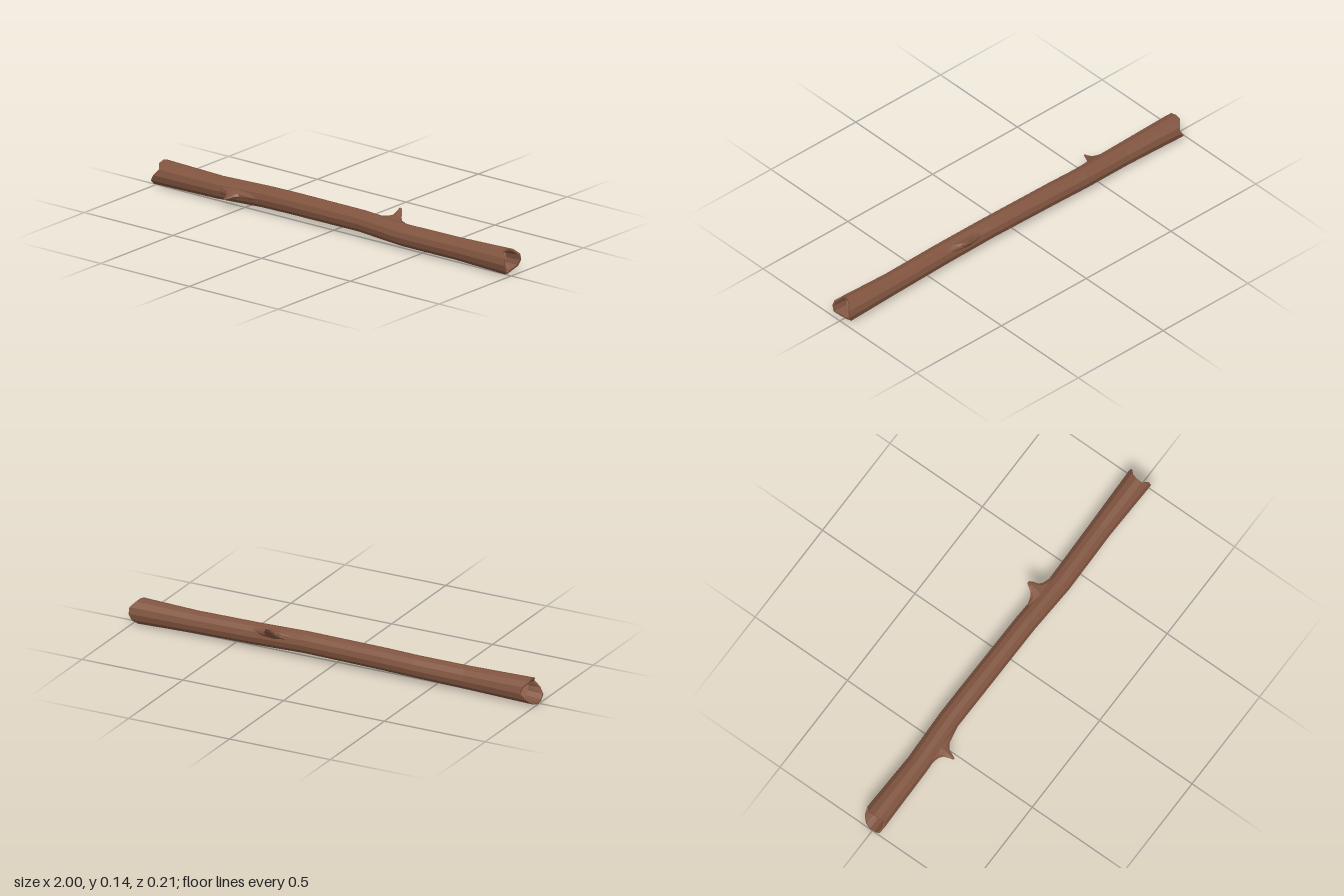
import * as THREE from 'three';

const SIDES = 12;

// Skin a list of rings (each an array of Vector3); optionally close the ends with fans
function loft(rings, startCap = false, endCap = false) {
  const pos = [];
  const tri = (a, b, c) => pos.push(...a.toArray(), ...b.toArray(), ...c.toArray());
  for (let i = 0; i < rings.length - 1; i++) {
    const r = rings[i], s = rings[i + 1], n = r.length;
    for (let k = 0; k < n; k++) {
      const m = (k + 1) % n;
      tri(r[k], r[m], s[m]);
      tri(r[k], s[m], s[k]);
    }
  }
  const fan = (ring, flip) => {
    const c = ring.reduce((t, p) => t.add(p), new THREE.Vector3()).divideScalar(ring.length);
    ring.forEach((p, k) => {
      const q = ring[(k + 1) % ring.length];
      flip ? tri(c, q, p) : tri(c, p, q);
    });
  };
  if (startCap) fan(rings[0], true);
  if (endCap) fan(rings[rings.length - 1], false);
  const g = new THREE.BufferGeometry();
  g.setAttribute('position', new THREE.Float32BufferAttribute(pos, 3));
  g.computeVertexNormals();
  return g;
}

// Ring around the log axis, starting at the top and turning towards the front
function logRing(x, cy, cz, r, offsets) {
  return Array.from({ length: SIDES }, (_, k) => {
    const a = (k / SIDES) * Math.PI * 2;
    return new THREE.Vector3(x + (offsets ? offsets[k] : 0), cy + r * Math.cos(a), cz + r * Math.sin(a));
  });
}

// Broken branch stub: sections are [x, y, z, half length along log, half width]
function stub(sections, dy, dz) {
  const rings = sections.map(([x, y, z, hx, hw]) =>
    Array.from({ length: 8 }, (_, k) => {
      const a = (k / 8) * Math.PI * 2;
      const w = hw * Math.sin(a);
      return new THREE.Vector3(x + hx * Math.cos(a), y + w * dz, z - w * dy);
    }));
  return loft(rings, false, true);
}

export function createModel() {
  const group = new THREE.Group();
  const bark = new THREE.MeshStandardMaterial({ color: 0x80543f });
  bark.name = 'bark';
  const wood = new THREE.MeshStandardMaterial({ color: 0xb87d63 });
  wood.name = 'cutWood';
  const add = (name, geometry, material) => {
    const mesh = new THREE.Mesh(geometry, material);
    mesh.name = name;
    group.add(mesh);
  };

  // Ragged rims: how far each side point falls short of, or reaches, the end
  const rimLeft = [0.03, 0.03, 0.045, 0.02, 0, 0, 0, 0.01, 0.03, 0.06, 0.05, 0.03];
  const rimRight = [-0.03, -0.03, -0.005, 0, 0, -0.02, -0.03, -0.03, -0.01, 0, 0, -0.02];

  // Gently bent trunk: x, centre y, centre z, radius
  const path = [
    [-0.65, 0.06, -0.01, 0.052], [-0.4, 0.067, -0.02, 0.05], [-0.25, 0.07, -0.018, 0.05],
    [0.15, 0.072, -0.013, 0.049], [0.4, 0.061, -0.004, 0.05], [0.7, 0.06, -0.01, 0.051],
  ];
  const capLeft = logRing(-0.93, 0.06, -0.01, 0.043);
  const capRight = logRing(0.93, 0.06, -0.008, 0.043);
  add('trunk', loft([
    capLeft,
    logRing(-1, 0.06, -0.012, 0.051, rimLeft),
    logRing(-1, 0.06, -0.012, 0.059, rimLeft),
    ...path.map((p) => logRing(...p)),
    logRing(1, 0.06, -0.01, 0.059, rimRight),
    logRing(1, 0.06, -0.01, 0.05, rimRight),
    capRight,
  ]), bark);

  // Sunken cut faces at both ends
  add('rightCutFace', loft([capLeft], true, false), wood);
  add('leftCutFace', loft([capRight], false, true), wood);

  // Broken stubs, flared along the grain
  add('frontStub', stub([
    [-0.54, 0.066, 0.03, 0.13, 0.022], [-0.535, 0.064, 0.046, 0.042, 0.015],
    [-0.535, 0.061, 0.062, 0.021, 0.009], [-0.535, 0.057, 0.085, 0.011, 0.004],
    [-0.537, 0.056, 0.104, 0.004, 0.002],
  ], 0, 1), bark);
  add('backStub', stub([
    [0.285, 0.09, -0.039, 0.12, 0.022], [0.293, 0.101, -0.058, 0.045, 0.015],
    [0.297, 0.108, -0.071, 0.027, 0.01], [0.297, 0.125, -0.09, 0.015, 0.006],
    [0.294, 0.139, -0.101, 0.007, 0.003],
  ], 0.6, -0.8), bark);

  return group;
}
